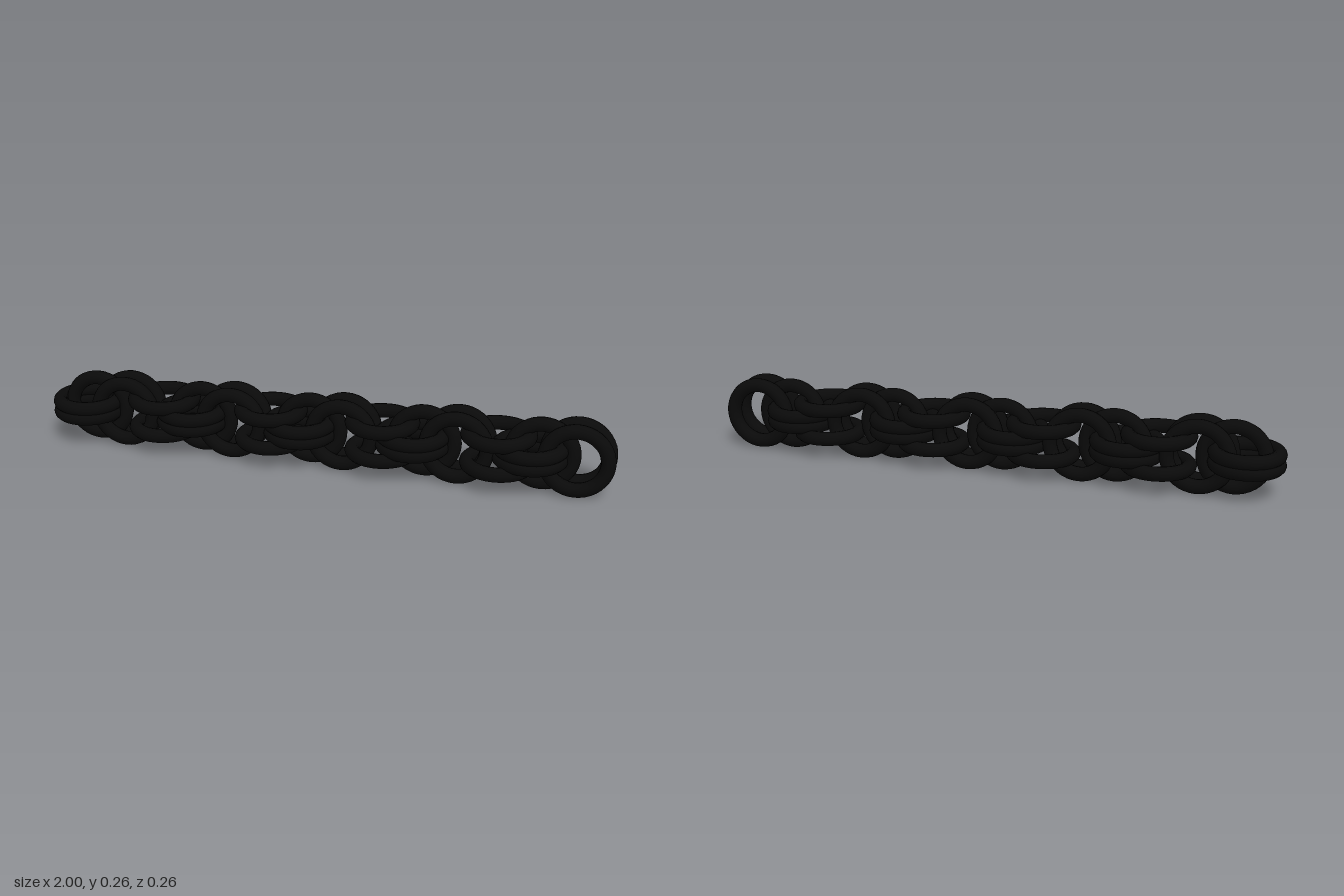
import * as THREE from 'three';

const RING = 0.1035;          // radius of a ring's centre line
const WIRE = 0.025;           // radius of the wire
const PITCH = 0.397;          // length of one repeat of the weave
const END = 1 - RING - WIRE;  // centre of the outermost rings

export function createModel() {
  const chain = new THREE.Group();
  chain.name = 'chain';

  const black = new THREE.MeshStandardMaterial({ color: 0x0a0a0a });
  const upright = new THREE.TorusGeometry(RING, WIRE, 12, 40);
  const flat = upright.clone().rotateX(Math.PI / 2);

  // A stack of equal rings at x, spread along the axis they turn about
  function addRings(name, geometry, x, offsets) {
    const stack = new THREE.Group();
    stack.name = name;
    for (const d of offsets) {
      const ring = new THREE.Mesh(geometry, black);
      ring.name = name + 'Ring';
      if (geometry === flat) ring.position.y = d;
      else ring.position.z = d;
      stack.add(ring);
    }
    stack.position.set(x, RING + WIRE, 0);
    chain.add(stack);
  }

  for (let i = 0; i < 5; i++) {
    const flatX = -END + i * PITCH;
    const uprightX = END - (4 - i) * PITCH;

    // Flat rings: an inner pair, with an outer pair just before it
    addRings('innerFlat', flat, flatX, [-0.018, 0.018]);
    if (i > 0) addRings('outerFlat', flat, flatX - 0.106, [-0.051, 0.051]);

    // Upright rings: a single middle ring, then an outer pair
    addRings('middleUpright', upright, uprightX - 0.115, [0]);
    addRings('outerUpright', upright, uprightX, [-0.0355, 0.0355]);
  }
  return chain;
}
